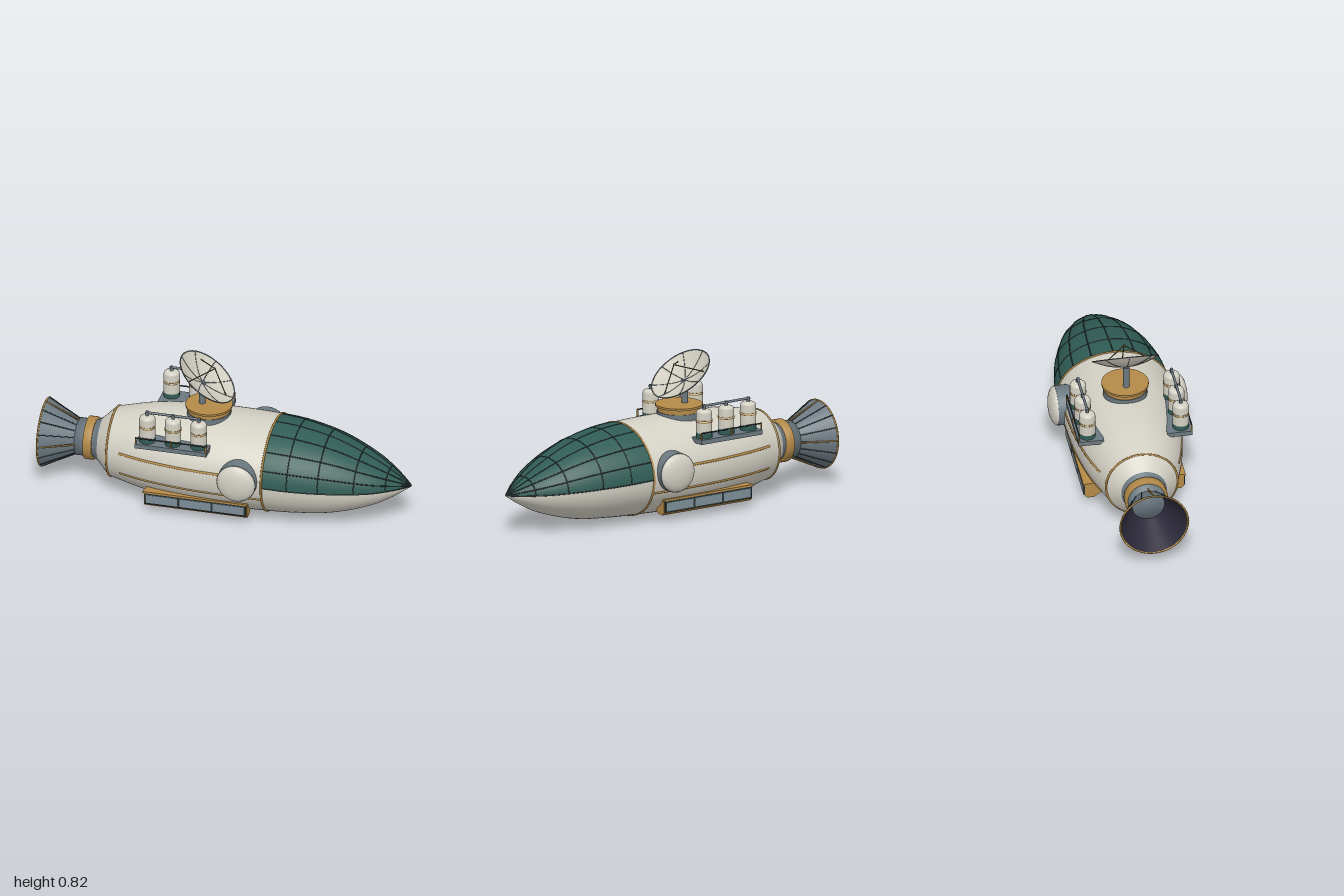
import * as THREE from 'three';

const mat = (name, color, side = THREE.FrontSide) => {
  const m = new THREE.MeshStandardMaterial({ color, side });
  m.name = name;
  return m;
};
const V = (x, y, z) => new THREE.Vector3(x, y, z);

// Hull sections: x, widest height, top, bottom, half width
const SECTIONS = [
  [-0.62, 0.257, 0.442, 0.073, 0.19], [-0.42, 0.257, 0.485, 0.032, 0.25],
  [-0.2, 0.257, 0.502, 0.01, 0.287], [0, 0.257, 0.507, 0.002, 0.3],
  [0.25, 0.257, 0.5, 0.01, 0.3], [0.4, 0.25, 0.487, 0.018, 0.288],
  [0.6, 0.24, 0.44, 0.04, 0.245], [0.8, 0.228, 0.35, 0.1, 0.165],
  [0.92, 0.22, 0.277, 0.163, 0.078], [1, 0.217, 0.217, 0.217, 0],
];

// Smooth section values at x (cubic between the rows)
function section(x) {
  const n = SECTIONS.length;
  let i = 0;
  while (i < n - 2 && x > SECTIONS[i + 1][0]) i++;
  const a = SECTIONS[i], b = SECTIONS[i + 1], h = b[0] - a[0], t = (x - a[0]) / h;
  const slope = (k, c) => {
    const p = SECTIONS[Math.max(k - 1, 0)], q = SECTIONS[Math.min(k + 1, n - 1)];
    return (q[c] - p[c]) / (q[0] - p[0]);
  };
  return [1, 2, 3, 4].map((c) => (2 * t ** 3 - 3 * t * t + 1) * a[c] + (t ** 3 - 2 * t * t + t) * h * slope(i, c)
    + (3 * t * t - 2 * t ** 3) * b[c] + (t ** 3 - t * t) * h * slope(i + 1, c));
}

// Point on the hull; angle 0 is +z, a quarter turn is up
function hullPoint(x, angle, off = 0) {
  const [cy, top, bottom, rz] = section(x);
  const s = Math.sin(angle), ry = s > 0 ? top - cy : cy - bottom;
  return V(x, cy + (ry + off) * s, (rz + off) * Math.cos(angle));
}

function hullPatch(x0, x1, a0, a1, nx, na, off = 0) {
  const pos = [], idx = [];
  for (let j = 0; j <= na; j++) {
    for (let i = 0; i <= nx; i++) {
      pos.push(...hullPoint(x0 + (x1 - x0) * i / nx, a0 + (a1 - a0) * j / na, off).toArray());
      if (i < nx && j < na) {
        const p = j * (nx + 1) + i, q = p + nx + 1;
        idx.push(p, p + 1, q + 1, p, q + 1, q);
      }
    }
  }
  const g = new THREE.BufferGeometry();
  g.setAttribute('position', new THREE.Float32BufferAttribute(pos, 3));
  g.setIndex(idx);
  g.computeVertexNormals();
  return g;
}

export function createModel() {
  const white = mat('hull white', 0xd3d0c4);
  const dishWhite = mat('dish white', 0xd0cdc0, THREE.DoubleSide);
  const gold = mat('gold trim', 0xb38a48);
  const grey = mat('slate grey', 0x6c7981);
  const green = mat('canopy green', 0x305c55);
  const dark = mat('dark frame', 0x2b3536);
  const glass = mat('window glass', 0x7d8f98);
  const inner = mat('nozzle inside', 0x2b2838, THREE.DoubleSide);
  const bronze = mat('bronze strut', 0x6b5535);

  const root = new THREE.Group();
  const add = (name, geo, material, x = 0, y = 0, z = 0, parent = root) => {
    const m = new THREE.Mesh(geo, material);
    m.name = name;
    m.position.set(x, y, z);
    parent.add(m);
    return m;
  };
  const cyl = (rt, rb, h, n = 32) => new THREE.CylinderGeometry(rt, rb, h, n);
  const box = (w, h, d) => new THREE.BoxGeometry(w, h, d);
  const rod = (name, a, b, r, material, parent = root) => {
    const m = add(name, cyl(r, r, a.distanceTo(b), 8), material, 0, 0, 0, parent);
    m.position.copy(a).lerp(b, 0.5);
    m.quaternion.setFromUnitVectors(V(0, 1, 0), b.clone().sub(a).normalize());
  };
  const tube = (name, pts, r, material, closed = false, parent = root) =>
    add(name, new THREE.TubeGeometry(new THREE.CatmullRomCurve3(pts, closed), pts.length * 2, r, 6, closed), material, 0, 0, 0, parent);
  const hullLine = (name, x0, x1, angleAt, r, material, off = 0) =>
    tube(name, Array.from({ length: 21 }, (_, i) => {
      const x = x0 + (x1 - x0) * i / 20;
      return hullPoint(x, angleAt(x), off);
    }), r, material);
  const lathe = (pts, n = 40) => new THREE.LatheGeometry(pts.map((p) => new THREE.Vector2(...p)), n);

  // Hull, nose and canopy
  const PI = Math.PI;
  add('hull', hullPatch(-0.62, 0.255, -PI / 2, 1.5 * PI, 28, 64), white);
  add('noseUnderside', hullPatch(0.255, 1, PI, 2 * PI, 32, 32), white);
  add('canopy', hullPatch(0.255, 1, 0, PI, 32, 32, 0.001), green);
  for (let i = 0; i <= 8; i++) hullLine('canopyRib', 0.26, 0.995, () => i * PI / 8, 0.0035, dark);
  for (const x of [0.39, 0.55, 0.73, 0.88]) {
    tube('canopyHoop', Array.from({ length: 25 }, (_, i) => hullPoint(x, i * PI / 24)), 0.003, dark);
  }
  for (const x of [-0.615, 0.255]) {
    tube('hullRing', Array.from({ length: 48 }, (_, i) => hullPoint(x, i * PI / 24)), 0.006, gold, true);
  }

  // Tail cone, collar and engine bell, all along the x axis
  const engine = new THREE.Group();
  engine.name = 'engine';
  engine.position.y = 0.257;
  root.add(engine);
  const turned = (name, pts, material) => add(name, lathe(pts).rotateZ(-PI / 2), material, 0, 0, 0, engine);
  turned('tailCone', [[0.122, -0.685], [0.187, -0.62]], white);
  turned('tailCollar', [[0, -0.815], [0.1, -0.815], [0.1, -0.715], [0.105, -0.71], [0.122, -0.685]], grey);
  turned('collarRing', [[0.1, -0.765], [0.115, -0.765], [0.115, -0.72], [0.1, -0.72]], gold);
  const bell = [[0.184, -0.995], [0.155, -0.94], [0.128, -0.885], [0.105, -0.84], [0.09, -0.81]];
  turned('engineBell', bell, grey);
  turned('bellInside', bell.map(([r, x]) => [r - 0.006, x]), inner);
  const rim = add('bellRim', new THREE.TorusGeometry(0.181, 0.005, 8, 48), gold, -0.995, 0, 0, engine);
  rim.rotation.y = PI / 2;
  for (let i = 0; i < 16; i++) {
    const a = i * PI / 8, at = (r, x) => V(x, r * Math.sin(a), r * Math.cos(a));
    tube('bellRib', bell.map(([r, x]) => at(r, x)), 0.003, dark, false, engine);
    if (i % 4 === 0) rod('bellStrut', at(0.1, -0.81), at(0.184, -0.995), 0.004, gold, engine);
  }

  // Parts on both flanks
  for (const s of [1, -1]) {
    const side = new THREE.Group();
    side.name = s > 0 ? 'frontFlank' : 'backFlank';
    root.add(side);

    // Gold pipes along the hull
    for (const [y, end] of [[0.303, 0.05], [0.18, 0.25]]) {
      const angleAt = (x) => {
        const [cy, top, bottom] = section(x);
        const a = Math.asin((y - cy) / (y > cy ? top - cy : cy - bottom));
        return s > 0 ? a : PI - a;
      };
      hullLine('hullPipe', -0.54, end, angleAt, 0.007, gold, -0.002);
    }

    // Round side pod with a domed cap
    const turn = s * PI / 2;
    add('podHousing', cyl(0.106, 0.106, 0.1, 40).rotateX(turn), grey, 0.128, 0.284, s * 0.28, side);
    const dome = new THREE.SphereGeometry(0.104, 36, 12, 0, 2 * PI, 0, PI / 2).scale(1, 0.4, 1);
    add('podDome', dome.rotateX(turn), white, 0.128, 0.284, s * 0.329, side);

    // Window gallery low on the flank
    const outline = [[0.15, 0.13], [0.258, 0.13], [0.264, 0.12], [0.264, 0.055], [0.252, 0.042], [0.215, 0.042], [0.15, 0.09]];
    const shape = new THREE.Shape(outline.map(([z, y]) => new THREE.Vector2(-s * z, y)));
    const body = new THREE.ExtrudeGeometry(shape, { depth: 0.56, bevelEnabled: false }).rotateY(PI / 2);
    add('galleryBody', body, gold, -0.39, 0, 0, side);
    add('galleryLip', box(0.57, 0.01, 0.03), gold, -0.11, 0.126, s * 0.258, side);
    add('galleryFrame', box(0.55, 0.062, 0.008), dark, -0.11, 0.089, s * 0.266, side);
    for (let i = -1; i <= 1; i++) {
      add('galleryWindow', box(0.168, 0.046, 0.006), glass, -0.11 + i * 0.181, 0.089, s * 0.2695, side);
    }

    // Tank rack with railing
    add('rackPlatform', box(0.39, 0.025, 0.135), grey, -0.235, 0.417, s * 0.237, side);
    for (const x of [-0.425, -0.235, -0.045]) {
      add('railPost', box(0.007, 0.04, 0.007), gold, x, 0.447, s * 0.3, side);
    }
    rod('rail', V(-0.428, 0.465, s * 0.3), V(-0.042, 0.465, s * 0.3), 0.004, dark, side);
    for (const x of [-0.375, -0.235, -0.095]) {
      add('tankBase', cyl(0.043, 0.043, 0.03), green, x, 0.442, s * 0.25, side);
      const tank = [[0.043, 0.455], [0.043, 0.562], [0.038, 0.573], [0.025, 0.58], [0, 0.582]];
      add('tank', lathe(tank, 28), white, x, 0, s * 0.25, side);
      for (const y of [0.514, 0.524]) add('tankBand', cyl(0.0443, 0.0443, 0.004), gold, x, y, s * 0.25, side);
      add('tankValve', cyl(0.009, 0.009, 0.03, 12), grey, x, 0.59, s * 0.25, side);
    }
    rod('tankPipe', V(-0.385, 0.598, s * 0.25), V(-0.085, 0.598, s * 0.25), 0.007, grey, side);
  }

  // Dish turntable and mast
  add('turntableBase', cyl(0.117, 0.117, 0.06, 40), grey, -0.105, 0.49, 0);
  add('turntable', cyl(0.113, 0.113, 0.026, 40), gold, -0.105, 0.533, 0);
  add('turntableTop', cyl(0.125, 0.125, 0.011, 40), gold, -0.105, 0.551, 0);
  add('dishMast', cyl(0.017, 0.017, 0.13, 20), grey, -0.142, 0.615, 0);

  // Tilted dish with ribs and feed tripod
  const dish = new THREE.Group();
  dish.name = 'dish';
  dish.position.set(-0.115, 0.715, 0);
  dish.rotation.z = -Math.atan2(0.6, 0.8);
  root.add(dish);
  const R = 0.175, depth = (r) => -0.045 * (1 - (r / R) ** 2);
  const radii = Array.from({ length: 9 }, (_, i) => R * i / 8);
  add('dishBowl', lathe(radii.map((r) => [r, depth(r)]), 48), dishWhite, 0, 0, 0, dish);
  add('dishRim', new THREE.TorusGeometry(R, 0.003, 6, 48).rotateX(PI / 2), grey, 0, 0, 0, dish);
  const onDish = (r, a) => V(r * Math.cos(a), depth(r), r * Math.sin(a));
  for (let i = 0; i < 8; i++) {
    tube('dishRib', radii.map((r) => onDish(r, i * PI / 4)), 0.0022, grey, false, dish);
  }
  for (let i = 0; i < 3; i++) rod('feedStrut', onDish(0.14, i * 2 * PI / 3), V(0, 0.07, 0), 0.003, bronze, dish);
  add('feedHorn', new THREE.SphereGeometry(0.006, 12, 8), bronze, 0, 0.07, 0, dish);

  return root;
}
